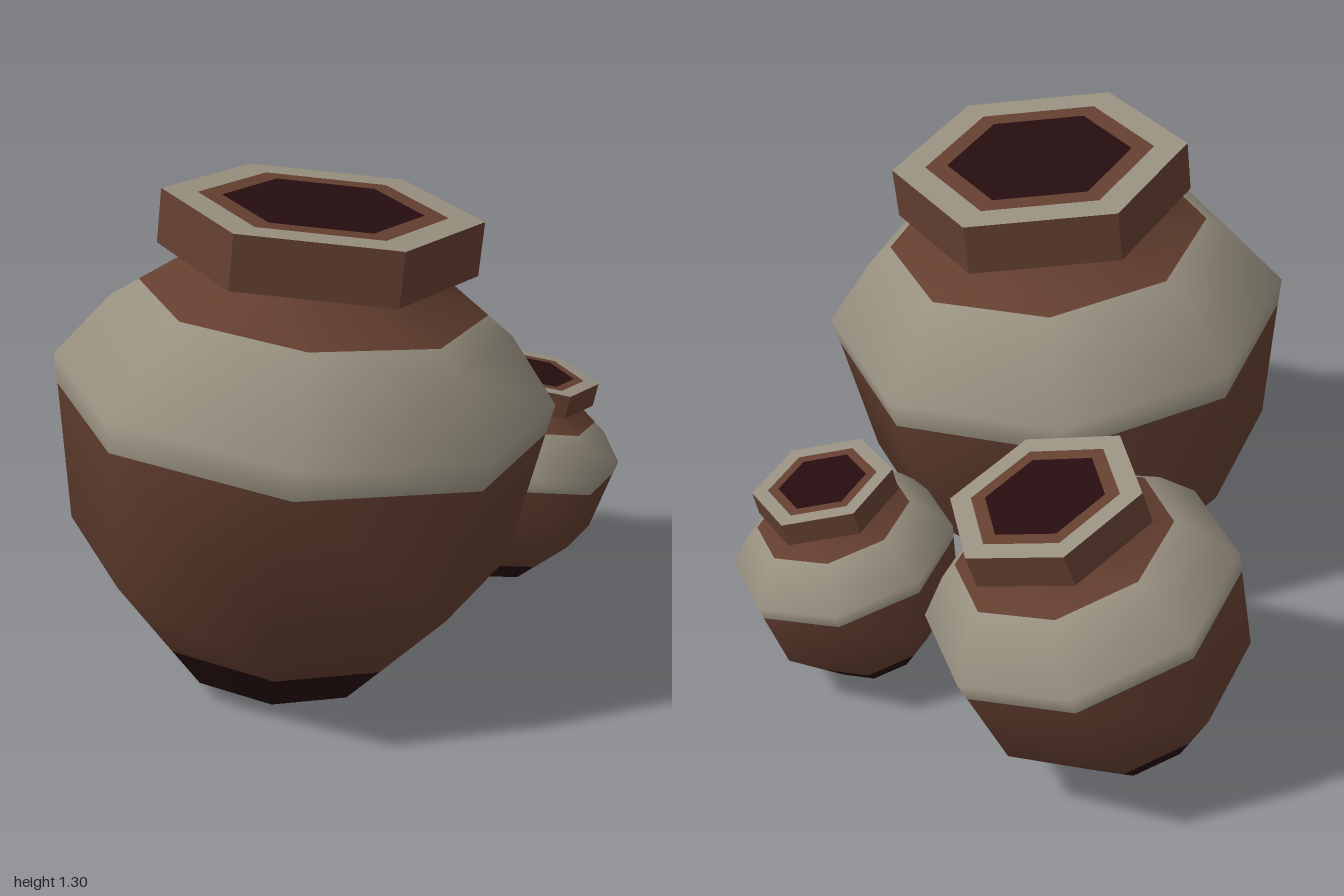
import * as THREE from 'three';

const mat = (name, color) => {
  const m = new THREE.MeshStandardMaterial({ color, side: THREE.DoubleSide });
  m.name = name;
  return m;
};

// Body profile: [radius, height, colour of the band above this point]
const PROFILE = [
  [0.267, 0, 0], [0.37, 0.118, 1], [0.565, 0.343, 1], [0.623, 0.705, 2],
  [0.637, 0.784, 2], [0.505, 0.954, 2], [0.438, 1.002, 1], [0.28, 1.115, 0], [0.26, 1.235, 0],
];
const RIM_R = 0.4, RIM_LOW = 1.1, RIM_TOP = 1.239;

// Eight-sided smooth body, index regrouped so each height band has one colour
function bodyGeometry() {
  const sides = 8, n = PROFILE.length;
  const geo = new THREE.LatheGeometry(PROFILE.map(([r, y]) => new THREE.Vector2(r, y)), sides);
  const old = geo.index.array, index = [];
  for (let j = 0; j < n - 1; j++) {
    geo.addGroup(index.length, sides * 6, PROFILE[j][2]);
    for (let i = 0; i < sides; i++) {
      const k = (i * (n - 1) + j) * 6;
      index.push(...old.slice(k, k + 6));
    }
  }
  geo.setIndex(index);
  return geo;
}

// Six-sided collar wall with hard edges, open underneath
function rimGeometry() {
  const geo = new THREE.CylinderGeometry(RIM_R, RIM_R, RIM_TOP - RIM_LOW, 6, 1, true)
    .rotateY(Math.PI / 6).translate(0, (RIM_TOP + RIM_LOW) / 2, 0).toNonIndexed();
  geo.computeVertexNormals();
  return geo;
}

const flat = (geo) => geo.rotateX(-Math.PI / 2).translate(0, RIM_TOP, 0);

export function createModel() {
  const dark = mat('dark glaze', 0x260d0f);
  const brown = mat('brown clay', 0x643f30);
  const grey = mat('grey glaze', 0x989080);

  const parts = [
    ['body', bodyGeometry(), [dark, brown, grey]],
    ['rimWall', rimGeometry(), brown],
    ['rimTop', flat(new THREE.RingGeometry(0.31, RIM_R, 6)), grey],
    ['mouthEdge', flat(new THREE.RingGeometry(0.25, 0.31, 6)), brown],
    ['mouth', flat(new THREE.CircleGeometry(0.25, 6)), dark],
  ];

  // One pot design repeated at three sizes, each leaning towards +x
  const pots = [
    ['largePot', [-0.205, 0.03, 0.365], 1, 6.05, 0],
    ['mediumPot', [-0.33, 0.087, -0.61], 0.65, 18, 40],
    ['smallPot', [0.375, 0.047, -0.245], 0.477, 12, 0],
  ];

  const model = new THREE.Group();
  model.name = 'clayPots';
  for (const [name, pos, scale, lean, turn] of pots) {
    const pot = new THREE.Group();
    pot.name = name;
    for (const [partName, geo, material] of parts) {
      const mesh = new THREE.Mesh(geo, material);
      mesh.name = partName;
      pot.add(mesh);
    }
    pot.position.set(...pos);
    pot.scale.setScalar(scale);
    // Turn first, then lean
    pot.rotation.set(0, THREE.MathUtils.degToRad(turn), -THREE.MathUtils.degToRad(lean), 'ZYX');
    model.add(pot);
  }
  return model;
}
